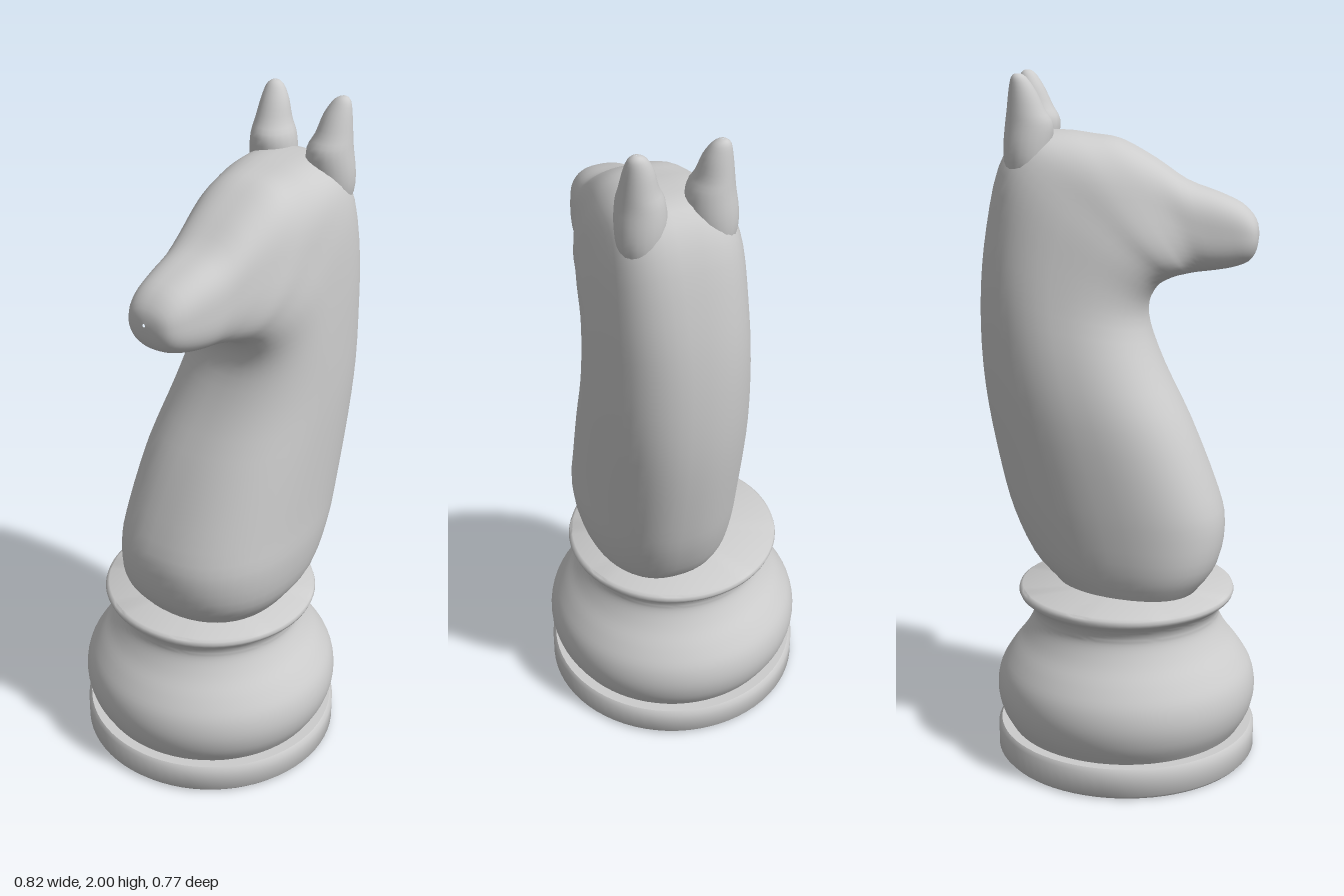
import * as THREE from 'three';
import { toCreasedNormals } from 'three/addons/utils/BufferGeometryUtils.js';

// Cross-sections of neck and head, [throat side x, y, crest side x, y,
// centre z, half width, sideways skew, taper towards the crest, squareness]
const NECK = [
  [-0.03, 0.46, -0.02, 0.46, 0.04, 0.005, 0, 0, 2.2],
  [-0.19, 0.48, 0.14, 0.48, 0.035, 0.155, 0.03, 0.1, 2.2],
  [-0.25, 0.53, 0.2, 0.53, 0.04, 0.2, 0.035, 0.13, 2.25],
  [-0.297, 0.6, 0.265, 0.6, 0.052, 0.23, 0.04, 0.15, 2.3],
  [-0.315, 0.7, 0.32, 0.72, 0.06, 0.241, 0.04, 0.15, 2.3],
  [-0.295, 0.8, 0.355, 0.85, 0.062, 0.24, 0.04, 0.14, 2.3],
  [-0.215, 1.0, 0.392, 1.05, 0.07, 0.236, 0.03, 0.11, 2.3],
  [-0.135, 1.16, 0.407, 1.22, 0.082, 0.226, 0.015, 0.06, 2.3],
  [-0.088, 1.28, 0.404, 1.4, 0.092, 0.214, 0, 0.02, 2.4],
  [-0.085, 1.35, 0.384, 1.57, 0.096, 0.206, 0, 0, 2.6],
  [-0.11, 1.4, 0.345, 1.74, 0.097, 0.197, 0, 0, 2.9],
];
const HEAD = [
  [-0.14, 1.42, 0.28, 1.828, 0.097, 0.185, 0, 0, 3],
  [-0.165, 1.43, 0.17, 1.838, 0.096, 0.175, 0, 0, 3],
  [-0.19, 1.435, 0.08, 1.828, 0.096, 0.16, 0, 0, 2.9],
  [-0.21, 1.438, 0, 1.814, 0.098, 0.144, 0, 0, 2.8],
  [-0.235, 1.441, -0.1, 1.76, 0.099, 0.126, 0, 0, 2.8],
  [-0.275, 1.446, -0.19, 1.7, 0.097, 0.114, 0, 0, 2.8],
  [-0.325, 1.455, -0.28, 1.667, 0.092, 0.1, 0, 0, 2.7],
  [-0.37, 1.473, -0.35, 1.635, 0.086, 0.083, 0, 0, 2.5],
  [-0.391, 1.505, -0.389, 1.593, 0.082, 0.056, 0, 0, 2.3],
  [-0.398, 1.545, -0.398, 1.555, 0.08, 0.004, 0, 0, 2],
];

// Ear levels from inside the neck to the tip, as distances from the middle of the head:
// [y, front x, back x, inner distance, outer distance]
const EAR = [
  [1.66, 0.22, 0.3, 0.06, 0.13],
  [1.74, 0.2, 0.318, 0.04, 0.158],
  [1.8, 0.187, 0.322, 0.028, 0.163],
  [1.86, 0.182, 0.317, 0.032, 0.156],
  [1.9, 0.203, 0.311, 0.05, 0.15],
  [1.95, 0.227, 0.305, 0.064, 0.143],
  [1.985, 0.25, 0.298, 0.083, 0.135],
  [1.998, 0.265, 0.289, 0.1, 0.123],
  [2.0, 0.276, 0.279, 0.111, 0.114],
];

// Smooth blend between neighbouring sections
function sectionAt(sections, t) {
  const last = sections.length - 1;
  const i = Math.min(Math.floor(t), last - 1), f = t - i;
  const s = (k) => sections[Math.max(0, Math.min(last, k))];
  return s(i).map((p1, k) => {
    const p0 = s(i - 1)[k], p2 = s(i + 1)[k], p3 = s(i + 2)[k];
    return p1 + 0.5 * f * (p2 - p0 + f * (2 * p0 - 5 * p1 + 4 * p2 - p3 + f * (3 * (p1 - p2) + p3 - p0)));
  });
}

// Skin of slightly squared ovals through a list of sections
function loft(sections, sides) {
  const steps = (sections.length - 1) * 3;
  const positions = [], indices = [];
  for (let i = 0; i <= steps; i++) {
    const [ix, iy, ox, oy, cz, half, skew, taper, power] = sectionAt(sections, i / 3);
    const full = (v) => Math.sign(v) * Math.abs(v) ** (2 / power);
    for (let j = 0; j < sides; j++) {
      const a = ((j + 0.5) / sides) * Math.PI * 2, c = full(Math.cos(a)), s = full(Math.sin(a));
      positions.push(
        (ix + ox) / 2 + (c * (ox - ix)) / 2,
        (iy + oy) / 2 + (c * (oy - iy)) / 2,
        cz + c * skew + s * half * (1 - taper * c)
      );
      if (i < steps) {
        const n = (j + 1) % sides, p = i * sides, q = p + sides;
        indices.push(p + j, q + j, p + n, p + n, q + j, q + n);
      }
    }
  }
  const g = new THREE.BufferGeometry();
  g.setAttribute('position', new THREE.Float32BufferAttribute(positions, 3));
  g.setIndex(indices);
  g.computeVertexNormals();
  return g;
}

// Ear on one side of the head's middle line
function earGeometry(side) {
  const middle = 0.101;
  return loft(EAR.map(([y, front, back, inner, outer]) =>
    [front, y, back, y, middle + (side * (inner + outer)) / 2, (outer - inner) / 2, 0, 0, 2]), 20);
}

function lathe(profile) {
  const g = new THREE.LatheGeometry(profile.map(([r, y]) => new THREE.Vector2(r, y)), 72);
  return toCreasedNormals(g, 0.9);
}

export function createModel() {
  const grey = new THREE.MeshStandardMaterial({ color: 0xcccccc });
  grey.name = 'lightGrey';
  const model = new THREE.Group();
  model.name = 'chessKnight';
  const add = (name, geometry, x = 0) => {
    const mesh = new THREE.Mesh(geometry, grey);
    mesh.name = name;
    mesh.position.x = x;
    model.add(mesh);
  };

  // Turned pedestal: foot disc, round belly, narrow waist and flared collar
  const foot = [[0, 0], [0.378, 0], [0.387, 0.01], [0.387, 0.078], [0.378, 0.09], [0, 0.09]];
  const belly = new THREE.SplineCurve([
    [0.345, 0.085], [0.375, 0.14], [0.387, 0.2], [0.377, 0.26], [0.345, 0.315],
    [0.307, 0.365], [0.282, 0.41], [0.277, 0.44], [0.288, 0.468], [0.309, 0.487],
  ].map(([r, y]) => new THREE.Vector2(r, y))).getPoints(36).map((v) => [v.x, v.y]);
  const collar = [[0.316, 0.492], [0.32, 0.502], [0.317, 0.512], [0.309, 0.517], [0, 0.515]];
  add('foot', lathe(foot), -0.024);
  add('pedestal', lathe([...belly, ...collar]), -0.024);

  // Neck and head in one bent loft, then the two ears
  add('neckAndHead', loft([...NECK, ...HEAD], 48));
  add('rightEar', earGeometry(-1));
  add('leftEar', earGeometry(1));
  return model;
}
